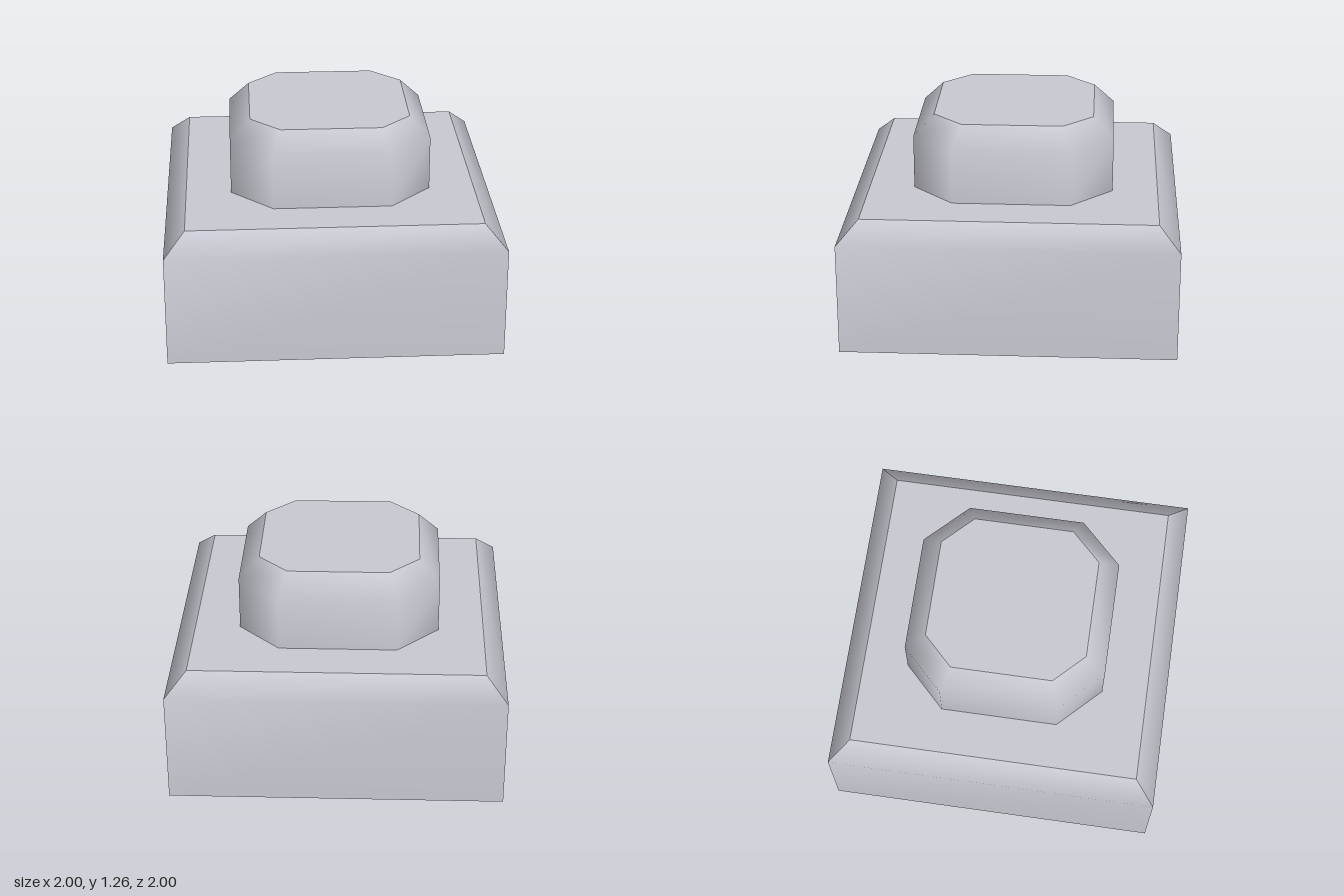
import * as THREE from 'three';

// Skin joining rings of [x, y, z] points, smooth inside one skin
function loft(rings, closed) {
  const n = rings[0].length, index = [];
  for (let r = 0; r < rings.length - 1; r++) {
    for (let i = 0; i < (closed ? n : n - 1); i++) {
      const a = r * n + i, b = r * n + (i + 1) % n;
      index.push(a, b, b + n, a, b + n, a + n);
    }
  }
  const geo = new THREE.BufferGeometry();
  geo.setAttribute('position', new THREE.Float32BufferAttribute(rings.flat(2), 3));
  geo.setIndex(index);
  geo.computeVertexNormals();
  return geo;
}

// Square of half width h with its corners cut at c, counterclockwise from above
function octagon(h, c) {
  return [[-c, h], [c, h], [h, c], [h, -c], [c, -h], [-c, -h], [-h, -c], [-h, c]];
}

export function createModel() {
  const group = new THREE.Group();
  const grey = new THREE.MeshStandardMaterial({ color: 0xc8c8d2 });
  grey.name = 'pale grey';

  const add = (name, geo) => {
    const mesh = new THREE.Mesh(geo, grey);
    mesh.name = name;
    group.add(mesh);
    return mesh;
  };
  const cap = (name, outline, y, facing) => {
    const shape = new THREE.Shape(outline.map(([x, z]) => new THREE.Vector2(x, -z)));
    const geo = new THREE.ShapeGeometry(shape).rotateX(-facing * Math.PI / 2);
    add(name, geo).position.y = y;
  };

  // Base: four walls, each running smoothly into its bevel
  const baseProfile = [[1, 0], [1, 0.68], [0.875, 0.805]];
  const wall = loft(baseProfile.map(([h, y]) => [[-h, y, h], [h, y, h]]), false);
  ['Front', 'Left', 'Back', 'Right'].forEach((side, i) => {
    add('base' + side, wall).rotation.y = i * Math.PI / 2;
  });
  const square = h => [[-h, h], [h, h], [h, -h], [-h, -h]];
  cap('baseTop', square(0.875), 0.805, 1);
  cap('baseBottom', square(1), 0, -1);

  // Knob: eight-sided block with a bevelled rim
  const knobProfile = [[0.603, 0.353, 0.805], [0.603, 0.353, 1.135], [0.48, 0.302, 1.26]];
  add('knobSide', loft(knobProfile.map(([h, c, y]) =>
    octagon(h, c).map(([x, z]) => [x, y, z])), true));
  cap('knobTop', octagon(0.48, 0.302), 1.26, 1);

  return group;
}
